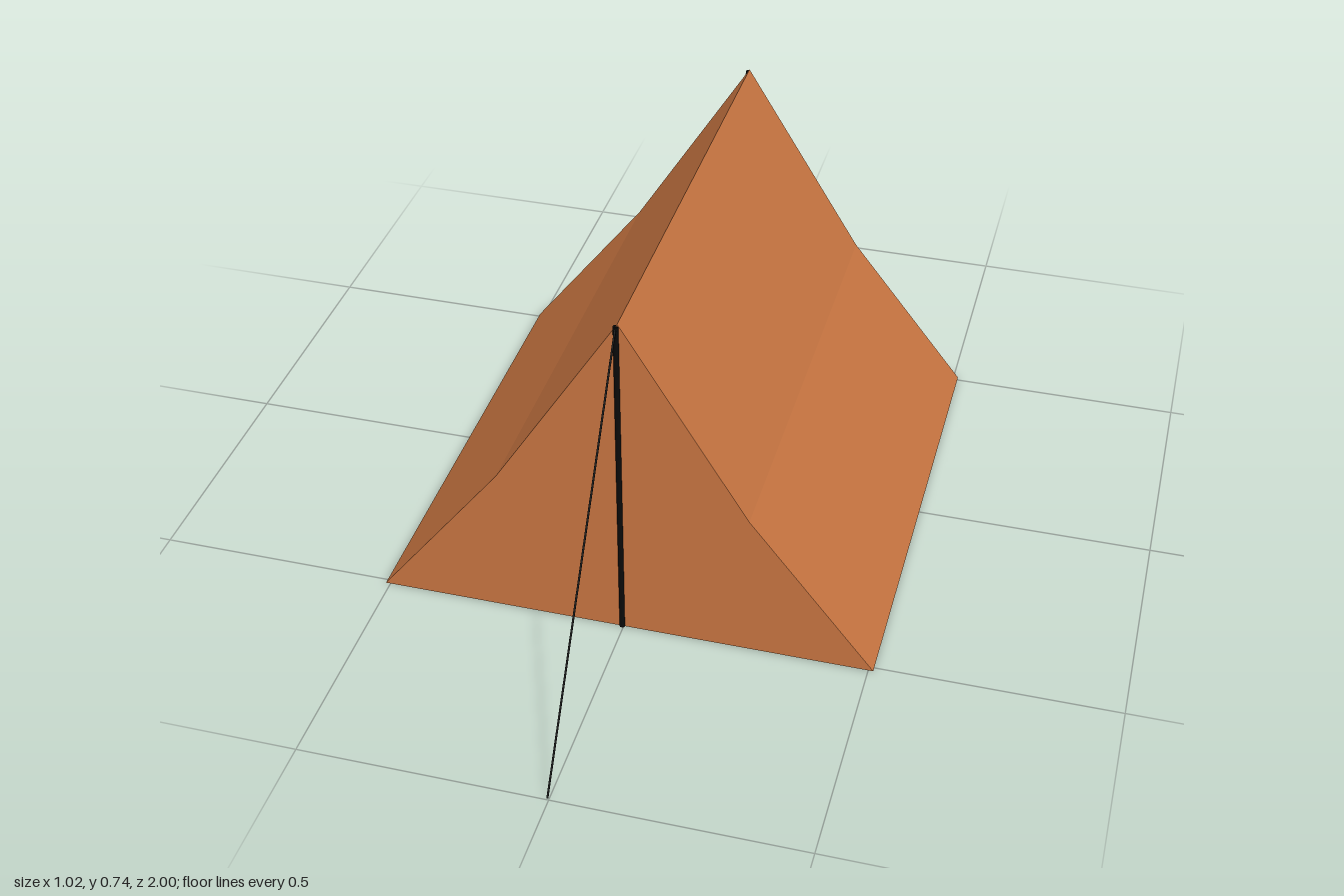
import * as THREE from 'three';

const canvas = new THREE.MeshStandardMaterial({ color: 0xc87541, flatShading: true });
const black = new THREE.MeshStandardMaterial({ color: 0x0a0a0a });

const HALF = 0.51;   // half depth of the tent body
const RIDGE = 0.735; // ridge height

// Cylinder running between two points
function rod(name, from, to, radius, sides) {
  const dir = to.clone().sub(from);
  const mesh = new THREE.Mesh(new THREE.CylinderGeometry(radius, radius, dir.length(), sides), black);
  mesh.position.copy(from).addScaledVector(dir, 0.5);
  mesh.quaternion.setFromUnitVectors(new THREE.Vector3(0, 1, 0), dir.normalize());
  mesh.name = name;
  return mesh;
}

export function createModel() {
  const tent = new THREE.Group();
  tent.name = 'tent';

  // Canvas body: sagging A-frame profile, closed ends and floor
  const profile = new THREE.Shape([
    [-0.51, 0], [0.51, 0], [0.255, 0.323], [0, RIDGE], [-0.255, 0.33],
  ].map(([x, y]) => new THREE.Vector2(x, y)));
  const geometry = new THREE.ExtrudeGeometry(profile, { depth: 2 * HALF, bevelEnabled: false });
  geometry.translate(0, 0, -HALF);
  const body = new THREE.Mesh(geometry, canvas);
  body.name = 'canvasBody';
  tent.add(body);

  // Upright pole and guy rope at each end
  for (const [end, s] of [['front', 1], ['back', -1]]) {
    const foot = new THREE.Vector3(-0.003, 0, s * HALF);
    const top = new THREE.Vector3(-0.003, RIDGE - 0.005, s * HALF);
    const peg = new THREE.Vector3(-0.003, 0.002, s * 0.998);
    tent.add(rod(end + 'Pole', foot, top, 0.0055, 12));
    tent.add(rod(end + 'GuyRope', top, peg, 0.002, 8));
  }
  return tent;
}
